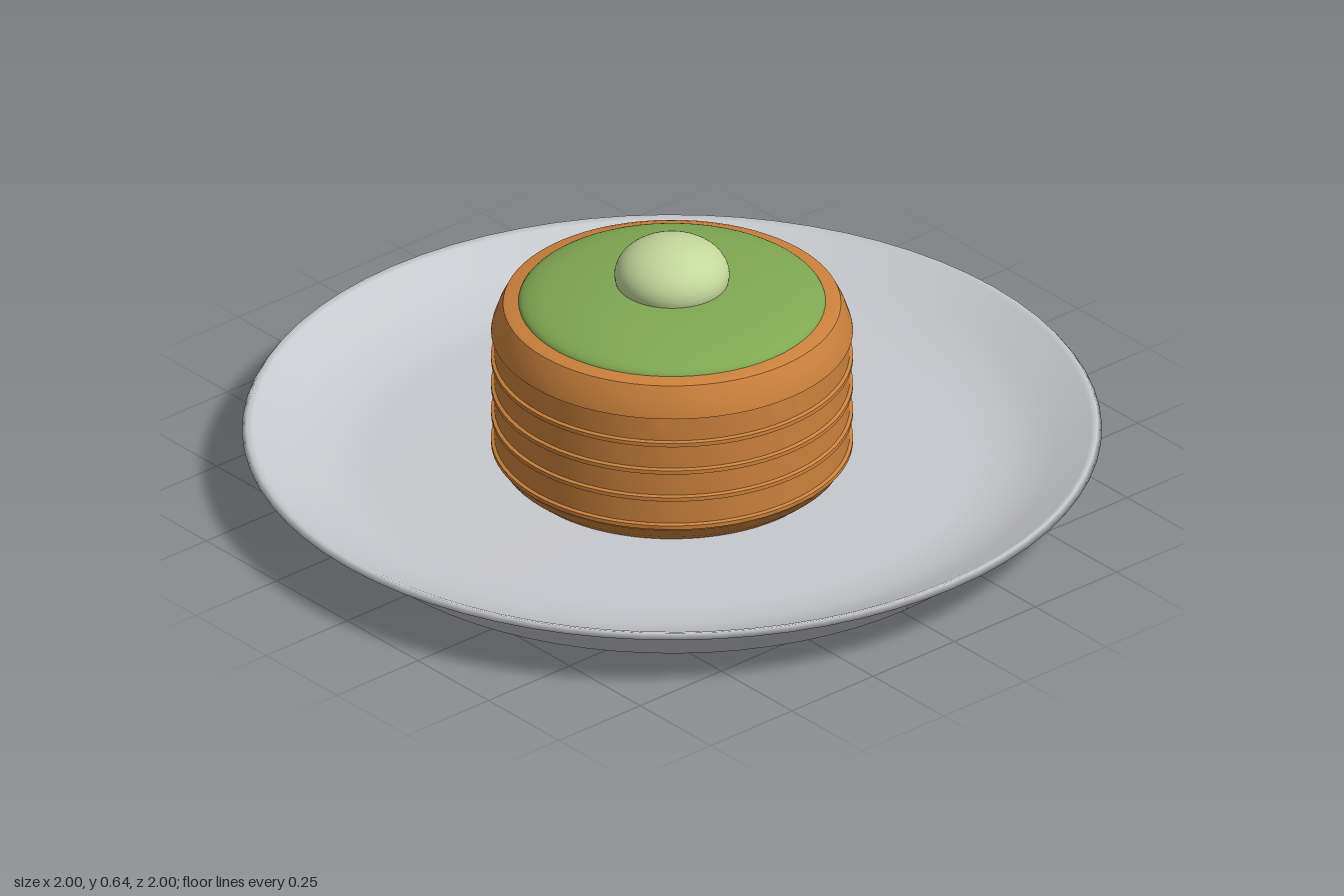
import * as THREE from 'three';
import { toCreasedNormals } from 'three/addons/utils/BufferGeometryUtils.js';

const material = (name, color) => {
  const m = new THREE.MeshStandardMaterial({ color });
  m.name = name;
  return m;
};

const lathe = (points) =>
  new THREE.LatheGeometry(points.map(([r, y]) => new THREE.Vector2(r, y)), 72);

export function createModel() {
  const group = new THREE.Group();
  const porcelain = material('porcelain', 0xc8c9ce);
  const crust = material('goldenCrust', 0xcb813c);
  const green = material('greenTopping', 0x7fa852);
  const paleGreen = material('paleGreenScoop', 0xc4d79b);

  const add = (name, geometry, mat) => {
    const mesh = new THREE.Mesh(geometry, mat);
    mesh.name = name;
    group.add(mesh);
    return mesh;
  };

  // Shallow plate: flat foot, flared wall, thin lip and sunken floor
  add('plate', lathe([
    [0, 0], [0.78, 0], [0.82, 0.005], [0.9, 0.088], [0.96, 0.12], [1, 0.142],
    [0.99, 0.155], [0.975, 0.15], [0.89, 0.105], [0.8, 0.07], [0.7, 0.06], [0, 0.06],
  ]), porcelain);

  // Stack of layers: tapered foot, thin ridges at each seam, rounded shoulder
  const stack = [[0.37, 0.055], [0.4, 0.08], [0.415, 0.105]];
  for (const seam of [0.115, 0.19, 0.262, 0.335]) {
    stack.push([0.413, seam - 0.008], [0.421, seam - 0.005], [0.421, seam + 0.005], [0.413, seam + 0.008]);
  }
  stack.push([0.413, 0.402], [0.421, 0.405], [0.419, 0.415], [0.407, 0.45], [0.393, 0.478], [0.38, 0.483], [0, 0.483]);
  add('layeredStack', toCreasedNormals(lathe(stack), 0.7), crust);

  // Low domed topping
  const topping = add('topping',
    new THREE.SphereGeometry(1, 64, 20, 0, Math.PI * 2, 0, Math.PI / 2), green);
  topping.scale.set(0.358, 0.062, 0.358);
  topping.position.y = 0.48;

  // Flattened scoop resting on the topping
  const scoop = add('scoop', new THREE.SphereGeometry(1, 48, 32), paleGreen);
  scoop.scale.set(0.134, 0.088, 0.134);
  scoop.position.y = 0.555;

  return group;
}
